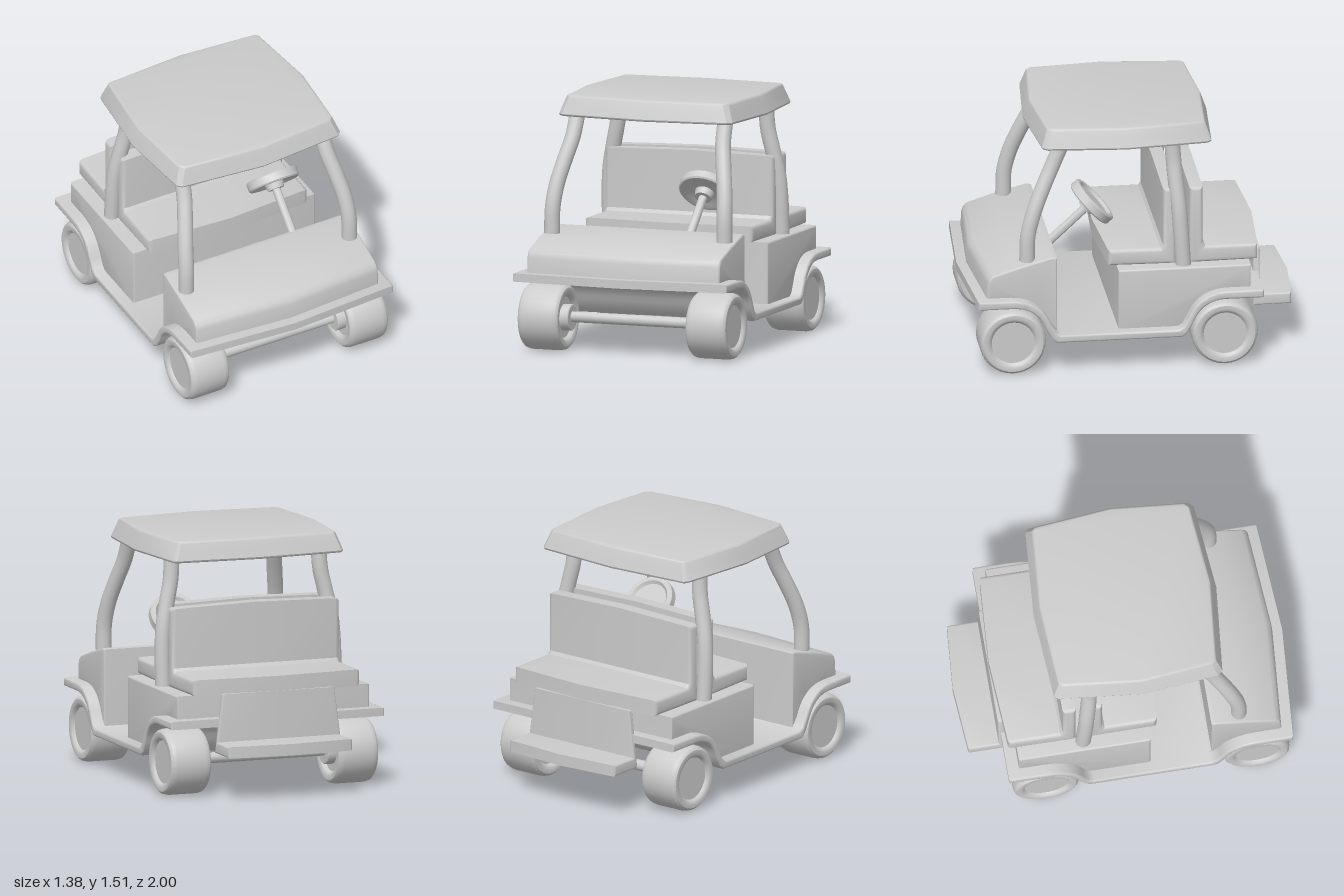
import * as THREE from 'three';
import { toCreasedNormals } from 'three/addons/utils/BufferGeometryUtils.js';

const grey = new THREE.MeshStandardMaterial({ color: 0xcccccc });
const vec = (p) => new THREE.Vector2(p[0], p[1]);

function mesh(name, geometry, crease = 0.6) {
  const m = new THREE.Mesh(toCreasedNormals(geometry, crease), grey);
  m.name = name;
  return m;
}

// Move every vertex by a rule
function warp(geometry, rule) {
  const pos = geometry.attributes.position;
  const v = new THREE.Vector3();
  for (let i = 0; i < pos.count; i++) {
    v.fromBufferAttribute(pos, i);
    rule(v);
    pos.setXYZ(i, v.x, v.y, v.z);
  }
  return geometry;
}

// Bevelled extrusion kept within its outline
function extrude(points, depth, bevel) {
  return new THREE.ExtrudeGeometry(new THREE.Shape(points), {
    depth: depth - 2 * bevel, steps: 2, bevelEnabled: true, bevelSegments: 3,
    bevelSize: bevel, bevelThickness: bevel, bevelOffset: -bevel,
  }).translate(0, 0, bevel - depth / 2);
}

// Side profile in (z, y) swept across the full width in x
function sweep(name, profile, halfWidth, bevel, rule) {
  const g = extrude(profile.map(vec), 2 * halfWidth, bevel).rotateY(-Math.PI / 2);
  if (rule) warp(g, (v) => rule(v, 1 - Math.abs(v.x) / halfWidth));
  return mesh(name, g);
}

function lathe(name, profile, segments = 32) {
  return mesh(name, new THREE.LatheGeometry(profile.map(vec), segments));
}

const arc = (a, b, c) =>
  new THREE.QuadraticBezierCurve(vec(a), vec(b), vec(c)).getPoints(10).map((p) => [p.x, p.y]);

export function createModel() {
  const cart = new THREE.Group();
  cart.name = 'golfCart';

  // Centre of the nose pushed forward
  const noseBow = (v, mid) => { v.z += 0.047 * mid * THREE.MathUtils.clamp((v.z - 0.5) / 0.4, 0, 1); };

  // Floor and wheel arches: one sheet, arches mirrored about z = 0.1
  const upper = [...arc([0.75, 0.48], [0.58, 0.475], [0.515, 0.32]), [0.485, 0.265], [0.455, 0.247]];
  const lower = [...arc([0.75, 0.43], [0.6, 0.43], [0.545, 0.29]), [0.51, 0.225], [0.48, 0.2]];
  const flip = (pts) => pts.map(([z, y]) => [0.2 - z, y]);
  cart.add(sweep('floorAndFenders', [
    [0.953, 0.48], ...upper, ...flip(upper).reverse(), [-0.77, 0.48],
    [-0.77, 0.43], ...flip(lower), ...lower.slice().reverse(), [0.953, 0.43],
  ], 0.69, 0.012, noseBow));

  // Front cowl
  cart.add(sweep('frontCowl', [
    [0.895, 0.46], [0.89, 0.57], [0.88, 0.6], [0.855, 0.622], [0.7, 0.672], [0.5, 0.725], [0.47, 0.72],
    [0.47, 0.25], [0.53, 0.32], [0.6, 0.42], [0.7, 0.455],
  ], 0.62, 0.012, noseBow));

  // Seat base
  cart.add(sweep('seatBase', [
    [0.1, 0.225], [0.1, 0.62], [-0.7, 0.62], [-0.7, 0.455], [-0.56, 0.455],
    [-0.43, 0.42], [-0.35, 0.34], [-0.285, 0.225],
  ], 0.62, 0.012));

  // Two benches, back to back about z = -0.3
  const bench = () => sweep('bench', [
    [0.15, 0.62], [0.15, 0.72], [-0.165, 0.72], [-0.18, 0.74], [-0.18, 1.1], [-0.26, 1.1], [-0.26, 0.615],
  ], 0.54, 0.025, (v, mid) => {
    if (v.z > 0) v.z += 0.033 * mid;
    if (v.y > 1) v.y += 0.013 * mid;
  });
  const frontSeat = bench();
  frontSeat.name = 'frontSeat';
  const rearSeat = bench();
  rearSeat.name = 'rearSeat';
  rearSeat.rotation.y = Math.PI;
  rearSeat.position.z = -0.6;
  cart.add(frontSeat, rearSeat);

  // Rear footrest, narrower at the top
  cart.add(sweep('rearFootrest', [
    [-0.745, 0.63], [-0.785, 0.63], [-0.785, 0.34], [-0.97, 0.34], [-0.97, 0.27], [-0.745, 0.27],
  ], 0.4, 0.012, (v, mid) => {
    if (v.z < -0.9) v.z -= 0.03 * mid;
    v.x *= 1 - 0.1 * THREE.MathUtils.clamp((v.y - 0.34) / 0.29, 0, 1);
  }));

  // Roof, bowed on all sides and tapering upward
  const roof = [
    [-0.53, 0.55], [0, 0.6], [0.53, 0.55], [0.558, 0.52], [0.6, 0.05], [0.55, -0.45], [0.53, -0.473],
    [0, -0.51], [-0.53, -0.473], [-0.55, -0.45], [-0.6, 0.05], [-0.558, 0.52],
  ].map(([x, z]) => vec([x, -z]));
  const roofGeometry = extrude(roof, 0.125, 0.014).rotateX(-Math.PI / 2).translate(0, 1.4475, 0);
  cart.add(mesh('roof', warp(roofGeometry, (v) => {
    const k = 1 - 0.065 * THREE.MathUtils.clamp((v.y - 1.4) / 0.1, 0, 1);
    v.x *= k;
    v.z = 0.045 + (v.z - 0.045) * k;
  })));

  // Roof posts
  const posts = {
    frontPost: [[0.555, 0.69, 0.645], [0.553, 0.84, 0.64], [0.54, 0.98, 0.605], [0.51, 1.13, 0.545],
      [0.483, 1.26, 0.485], [0.475, 1.41, 0.42]],
    rearPost: [[0.553, 0.615, -0.3], [0.551, 0.84, -0.285], [0.54, 0.98, -0.275], [0.51, 1.13, -0.26],
      [0.483, 1.26, -0.25], [0.475, 1.41, -0.24]],
  };
  for (const [name, path] of Object.entries(posts)) {
    for (const side of [1, -1]) {
      const curve = new THREE.CatmullRomCurve3(path.map(([x, y, z]) => new THREE.Vector3(side * x, y, z)));
      cart.add(mesh(name, new THREE.TubeGeometry(curve, 24, 0.047, 16)));
    }
  }

  // Steering wheel, hub and column on one tilted axis
  const steering = new THREE.Group();
  steering.name = 'steering';
  steering.position.set(0.265, 0.935, 0.215);
  steering.rotation.x = -0.82;
  const column = mesh('steeringColumn', new THREE.CylinderGeometry(0.026, 0.026, 0.38, 16));
  column.position.y = -0.2;
  const hub = mesh('steeringHub', new THREE.CylinderGeometry(0.06, 0.05, 0.04, 24));
  hub.position.y = -0.04;
  steering.add(column, hub, lathe('steeringWheel', [
    [0, -0.02], [0.11, -0.02], [0.13, -0.03], [0.152, -0.03], [0.16, -0.022], [0.16, 0.022],
    [0.152, 0.03], [0.13, 0.03], [0.115, 0.012], [0, 0.012],
  ]));
  cart.add(steering);

  // Wheels and axles
  const tyre = [
    [0, -0.155], [0.075, -0.155], [0.08, -0.15], [0.08, -0.1], [0.125, -0.1], [0.14, -0.122], [0.16, -0.13],
    [0.18, -0.128], [0.194, -0.115], [0.2, -0.09], [0.2, 0.09], [0.194, 0.115], [0.18, 0.128],
    [0.155, 0.13], [0.14, 0.122], [0.13, 0.108], [0, 0.108],
  ];
  for (const [end, z] of [['front', 0.74], ['rear', -0.54]]) {
    for (const side of [1, -1]) {
      const wheel = lathe(end + 'Wheel', tyre);
      wheel.rotation.z = -side * Math.PI / 2;
      wheel.position.set(side * 0.54, 0.2, z);
      cart.add(wheel);
    }
    const axle = mesh(end + 'Axle', new THREE.CylinderGeometry(0.033, 0.033, 0.8, 16));
    axle.rotation.z = Math.PI / 2;
    axle.position.set(0, 0.205, z);
    cart.add(axle);
  }
  return cart;
}
